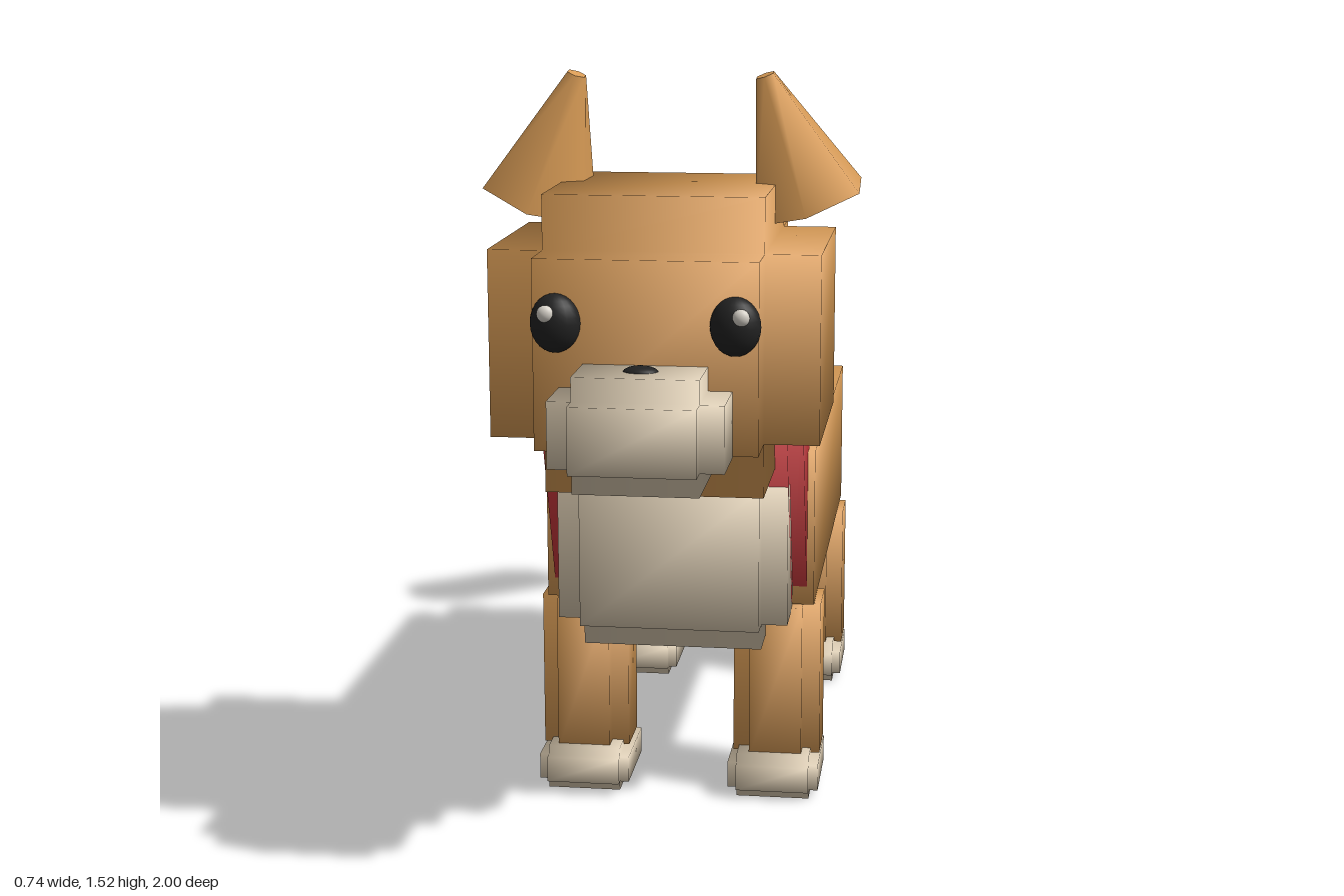
import * as THREE from 'three';

const mat = (name, color) => {
  const m = new THREE.MeshStandardMaterial({ color });
  m.name = name;
  return m;
};

// Box with square-notched edges and softly blended corner normals
function notchedBox(w, h, d, r) {
  const g = new THREE.BoxGeometry(1, 1, 1, 3, 3, 3);
  const p = g.attributes.position, n = g.attributes.normal;
  const half = [w / 2, h / 2, d / 2];
  for (let i = 0; i < p.count; i++) {
    const v = [p.getX(i), p.getY(i), p.getZ(i)];
    const rim = v.filter((c) => Math.abs(c) > 0.4).length > 1;
    const s = v.map(Math.sign);
    const q = v.map((c, k) => s[k] * (half[k] - (!rim && Math.abs(c) > 0.4 ? 0 : r)));
    p.setXYZ(i, ...q);
    const l = Math.sqrt(3);
    n.setXYZ(i, s[0] / l, s[1] / l, s[2] / l);
  }
  return g;
}

export function createModel() {
  const model = new THREE.Group();
  model.name = 'dog';
  const fur = mat('tan fur', 0xd99c56);
  const cream = mat('cream fur', 0xd8c8ae);
  const red = mat('red cloth', 0xcc383c);
  const black = mat('black', 0x222222);
  const shine = mat('eye shine', 0xd9d4cb);

  const add = (name, geometry, material, x, y, z) => {
    const m = new THREE.Mesh(geometry, material);
    m.name = name;
    m.position.set(x, y, z);
    model.add(m);
    return m;
  };
  const block = (name, material, size, r, pos) => add(name, notchedBox(...size, r), material, ...pos);
  const ball = (name, material, radii, pos) => {
    const g = new THREE.SphereGeometry(1, 20, 14);
    g.scale(...radii);
    return add(name, g, material, ...pos);
  };

  // Torso and chest
  block('body', fur, [0.56, 0.51, 1.105], 0.092, [0, 0.575, -0.107]);
  block('chest', cream, [0.47, 0.395, 0.25], 0.053, [0, 0.547, 0.4]);

  // Neck cloth leaning forward
  block('bandana', red, [0.53, 0.55, 0.195], 0.03, [0, 0.68, 0.363]).rotation.x = 0.34;

  // Head, muzzle and nose
  block('head', fur, [0.628, 0.57, 0.61], 0.105, [0, 1.018, 0.525]);
  block('muzzle', cream, [0.322, 0.215, 0.3], 0.045, [0, 0.897, 0.85]);
  ball('nose', black, [0.033, 0.013, 0.025], [0, 1.002, 0.885]);

  // Floating tail
  block('tail', fur, [0.15, 0.45, 0.15], 0.036, [0, 0.92, -0.818]).rotation.x = 0.714;

  // Paired parts
  for (const s of [1, -1]) {
    const side = s > 0 ? 'left' : 'right';
    ball(side + 'Eye', black, [0.047, 0.055, 0.036], [s * 0.166, 1.08, 0.83]);
    ball(side + 'EyeShine', shine, [0.016, 0.016, 0.012], [s * 0.179, 1.101, 0.859]);

    const ear = add(side + 'Ear', new THREE.CylinderGeometry(0.02, 0.122, 0.265, 6), fur, s * 0.226, 1.386, 0.46);
    const lean = new THREE.Vector3(-s * 0.085, 0.25, 0.04).normalize();
    ear.quaternion.setFromUnitVectors(new THREE.Vector3(0, 1, 0), lean);

    for (const [end, z] of [['Front', 0.285], ['Back', -0.468]]) {
      block(side + end + 'Leg', fur, [0.182, 0.4, 0.182], 0.036, [s * 0.203, 0.246, z]);
      block(side + end + 'Paw', cream, [0.19, 0.092, 0.22], 0.019, [s * 0.2, 0.046, z + 0.018]);
    }
  }
  return model;
}
